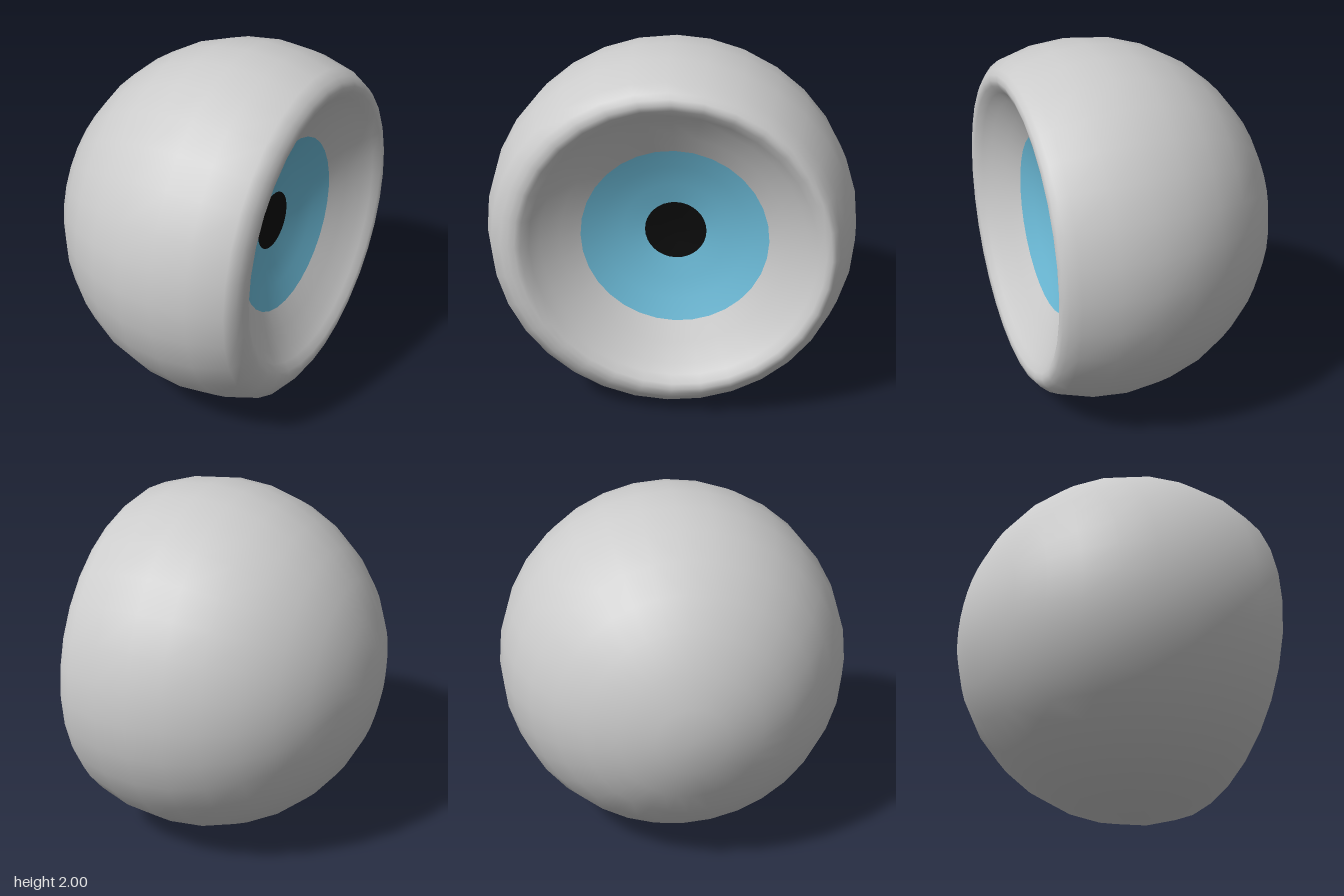
import * as THREE from 'three';
import { mergeVertices } from 'three/addons/utils/BufferGeometryUtils.js';

const SEGMENTS = 32;
const CENTRE_X = 0.26;

// Revolve a [radius, x] profile around the x axis, with the dish slightly off-centre and tilted
function revolve(name, profile, color) {
  let geo = new THREE.LatheGeometry(profile.map(([r, x]) => new THREE.Vector2(r, x)), SEGMENTS);
  geo.rotateZ(-Math.PI / 2);
  geo.deleteAttribute('uv');
  geo.deleteAttribute('normal');
  geo = mergeVertices(geo, 1e-4);
  const p = geo.attributes.position;
  for (let i = 0; i < p.count; i++) {
    const x = p.getX(i), y = p.getY(i), z = p.getZ(i);
    const w = x > 0.3 ? THREE.MathUtils.clamp((0.924 - Math.hypot(y, z)) / 0.1, 0, 1) : 0;
    p.setXYZ(i, x + w * (0.003 * y - 0.018 * z), y + 1 + 0.01 * w, z - 0.03 * w);
  }
  geo.computeVertexNormals();
  const mesh = new THREE.Mesh(geo, new THREE.MeshStandardMaterial({ color }));
  mesh.name = name;
  return mesh;
}

export function createModel() {
  const group = new THREE.Group();
  group.name = 'eyeball';

  // Round back of the ball, up to just before the rim
  const ball = [];
  for (let i = 0; i <= 10; i++) {
    const a = -Math.PI / 2 + i * Math.PI / 16;
    ball.push([i === 0 ? 0 : Math.cos(a), CENTRE_X + Math.sin(a)]);
  }

  // Rounded rim, short inner wall and concave dish
  const rim = [[0.88, 0.69], [0.85, 0.712], [0.82, 0.72], [0.79, 0.712], [0.75, 0.68], [0.7, 0.638]];
  const dish = [[0.6, 0.578], [0.5, 0.522]];
  group.add(revolve('eyeWhite', [...ball, ...rim, ...dish], 0xcccccc));

  // Coloured rings that carry on the dish
  group.add(revolve('iris', [[0.5, 0.522], [0.39, 0.478], [0.28, 0.446], [0.165, 0.422]], 0x6cbbd8));
  group.add(revolve('pupil', [[0.165, 0.422], [0.08, 0.413], [0, 0.41]], 0x0b0b0b));

  return group;
}
